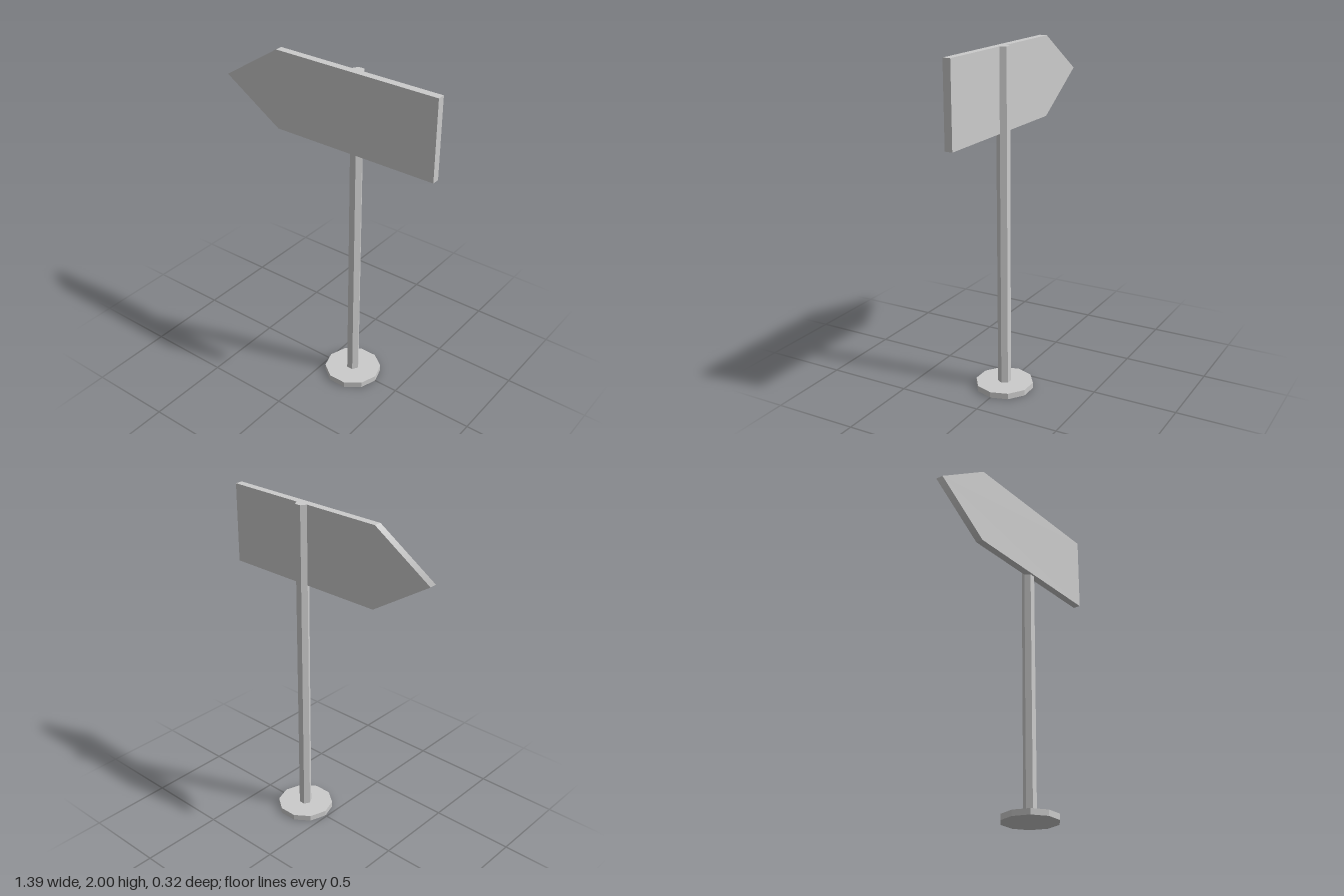
import * as THREE from 'three';

const POLE_X = 0.18;

// Upright prism with corners on the x axis
function prism(name, radius, height, sides, material) {
  const geo = new THREE.CylinderGeometry(radius, radius, height, sides);
  geo.rotateY(Math.PI / 2);
  geo.translate(POLE_X, height / 2, 0);
  const mesh = new THREE.Mesh(geo, material);
  mesh.name = name;
  return mesh;
}

export function createModel() {
  const group = new THREE.Group();
  group.name = 'signpost';
  const flat = new THREE.MeshStandardMaterial({ color: 0xcccccc, flatShading: true });
  const smooth = new THREE.MeshStandardMaterial({ color: 0xcccccc });

  // Ten-sided foot and hexagonal pole
  group.add(prism('base', 0.17, 0.035, 10, flat));
  group.add(prism('pole', 0.038, 2, 6, flat));

  // Arrow board, fixed to the front half of the pole
  const tipX = -0.695;
  const outline = [[tipX, 1.765], [-0.33, 1.53], [0.695, 1.53], [0.695, 2], [-0.33, 2]];
  const shape = new THREE.Shape(outline.map(([x, y]) => new THREE.Vector2(x, y)));
  const boardGeo = new THREE.ExtrudeGeometry(shape, { depth: 0.045, bevelEnabled: false });

  // Soften the rim where the two slopes meet at the tip
  const pos = boardGeo.attributes.position;
  const nor = boardGeo.attributes.normal;
  for (let i = 0; i < pos.count; i++) {
    if (pos.getX(i) < tipX + 0.001 && Math.abs(nor.getZ(i)) < 0.5) nor.setXYZ(i, -1, 0, 0);
  }
  const board = new THREE.Mesh(boardGeo, smooth);
  board.name = 'arrowBoard';
  group.add(board);

  return group;
}
